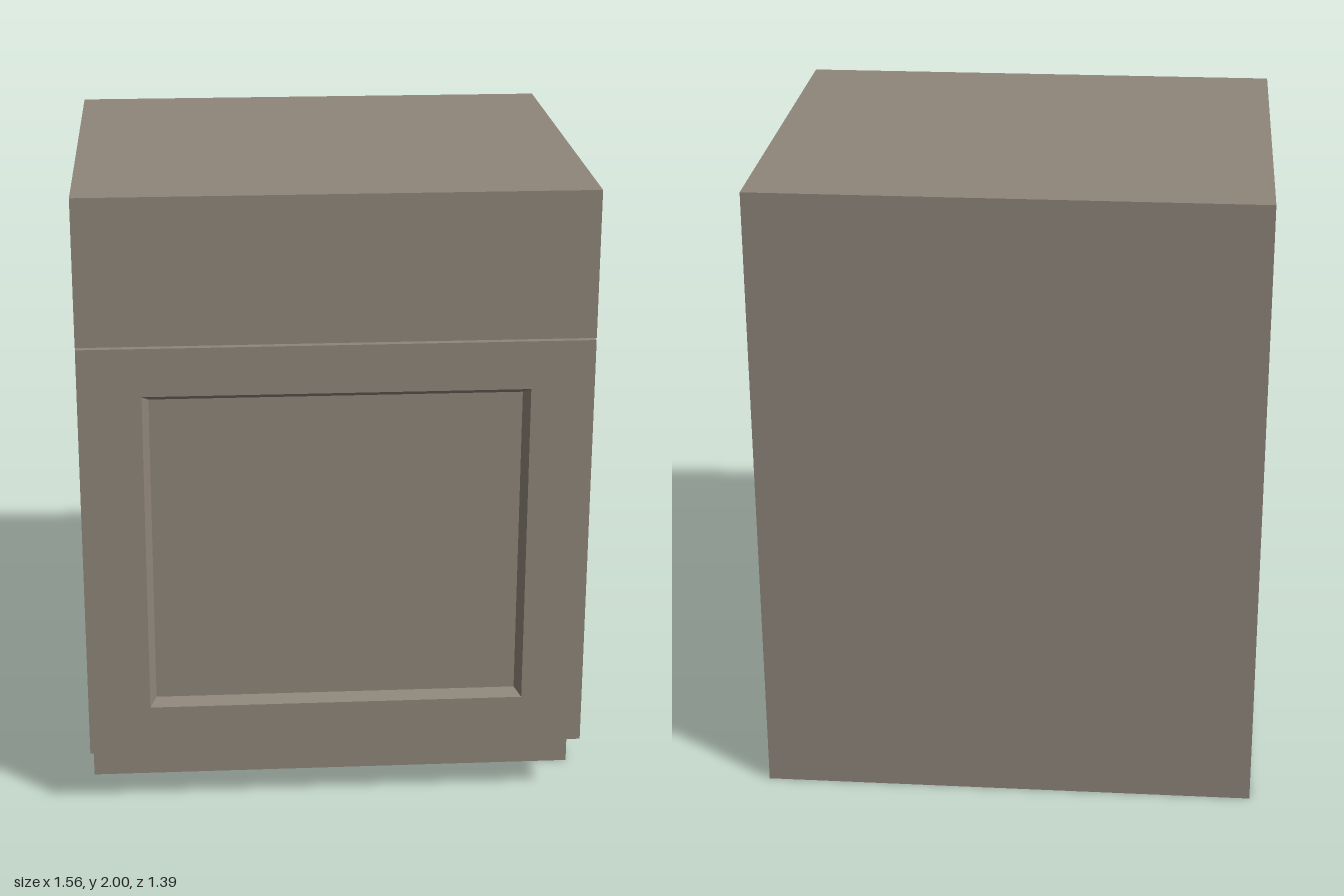
import * as THREE from 'three';

const W = 1.56, BACK = -0.697, FACE = 0.65, FRONT = 0.697;
const KICK_Y = 0.2, KICK_Z = 0.465, GAP_LOW = 1.538, GAP_HIGH = 1.545, TOP = 2;

// Rectangle loop, counter-clockwise when seen from the front
const loop = (halfW, y0, y1, z) => [
  [-halfW, y0, z], [halfW, y0, z], [halfW, y1, z], [-halfW, y1, z],
];

// Joins successive rectangle loops and closes the last one
function loopsGeometry(loops) {
  const pos = [];
  const quad = (a, b, c, d) => pos.push(...a, ...b, ...c, ...a, ...c, ...d);
  for (let i = 0; i < loops.length - 1; i++) {
    const p = loops[i], q = loops[i + 1];
    for (let k = 0; k < 4; k++) {
      const n = (k + 1) % 4;
      quad(p[k], p[n], q[n], q[k]);
    }
  }
  quad(...loops[loops.length - 1]);
  const geo = new THREE.BufferGeometry();
  geo.setAttribute('position', new THREE.Float32BufferAttribute(pos, 3));
  geo.computeVertexNormals();
  return geo;
}

export function createModel() {
  const group = new THREE.Group();
  const material = new THREE.MeshStandardMaterial({ color: 0x8f857a });
  const add = (name, geometry) => {
    const mesh = new THREE.Mesh(geometry, material);
    mesh.name = name;
    group.add(mesh);
    return mesh;
  };

  // Carcass: side profile with the toe kick notch, extruded across the width
  const profile = new THREE.Shape([
    [BACK, 0], [KICK_Z, 0], [KICK_Z, KICK_Y], [FACE, KICK_Y], [FACE, TOP], [BACK, TOP],
  ].map(([z, y]) => new THREE.Vector2(-z, y)));
  const carcass = new THREE.ExtrudeGeometry(profile, { depth: W, bevelEnabled: false });
  carcass.translate(0, 0, -W / 2).rotateY(Math.PI / 2);
  add('carcass', carcass);

  // Flat drawer front above the gap
  const drawer = new THREE.BoxGeometry(W, TOP - GAP_HIGH, FRONT - FACE);
  drawer.translate(0, (TOP + GAP_HIGH) / 2, (FRONT + FACE) / 2);
  add('drawerFront', drawer);

  // Door: flat frame, sloped moulding and recessed panel
  add('door', loopsGeometry([
    loop(W / 2, KICK_Y, GAP_LOW, FACE),
    loop(W / 2, KICK_Y, GAP_LOW, FRONT),
    loop(0.587, 0.355, 1.387, FRONT),
    loop(0.567, 0.375, 1.367, FRONT - 0.035),
  ]));

  return group;
}
